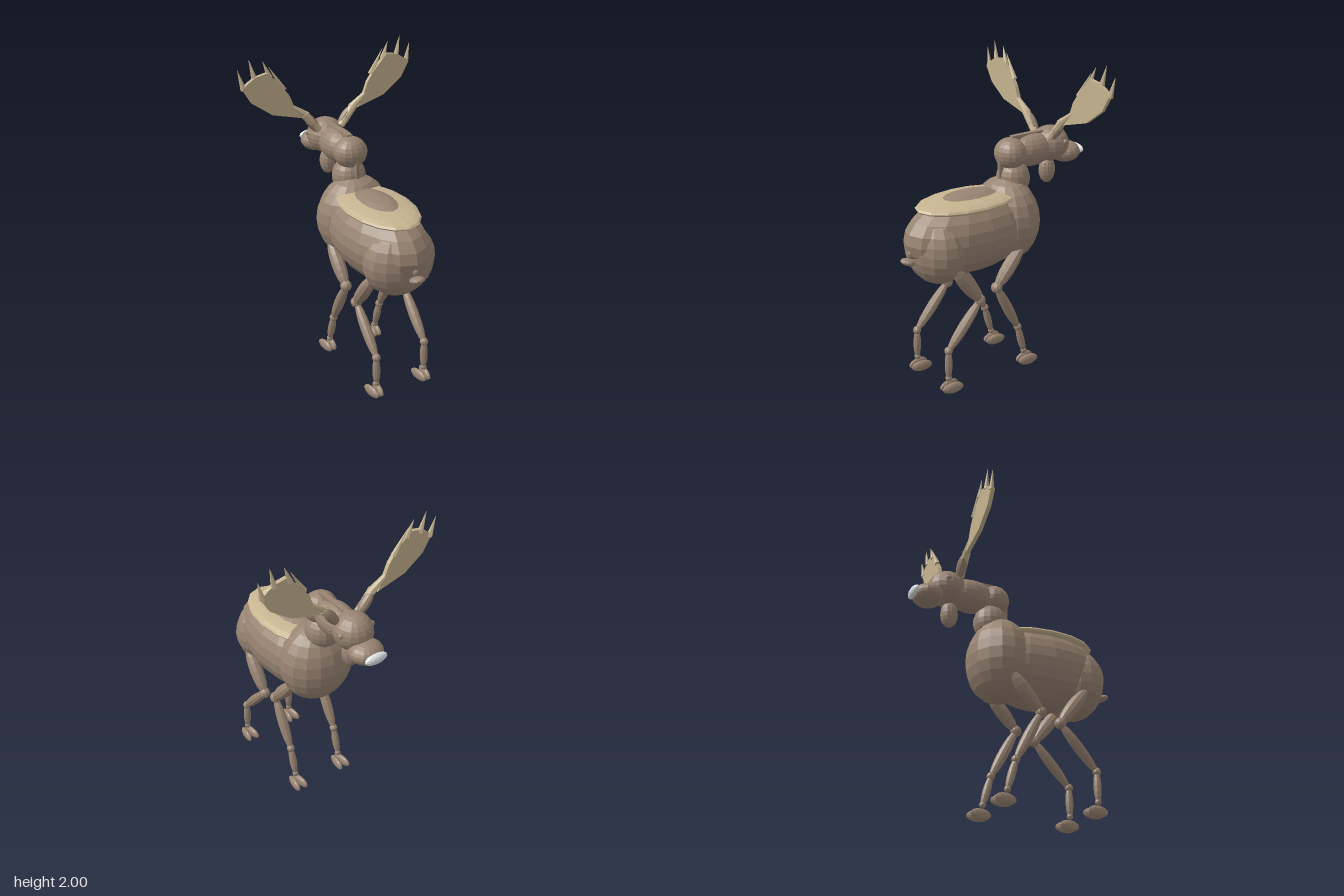
import * as THREE from 'three';

const hide = new THREE.MeshStandardMaterial({ name: 'brownHide', color: 0x998472, flatShading: true });
const tan = new THREE.MeshStandardMaterial({ name: 'tanHorn', color: 0xc6b390, flatShading: true });
const pale = new THREE.MeshStandardMaterial({ name: 'paleNose', color: 0xe2e6ea, flatShading: true });
const UP = new THREE.Vector3(0, 1, 0);

function add(parent, name, geo, mat, pos) {
  const mesh = new THREE.Mesh(geo, mat);
  mesh.name = name;
  mesh.position.set(...pos);
  parent.add(mesh);
  return mesh;
}

// Faceted ellipsoid
function blob(parent, name, pos, radii, mat = hide, seg = 16, rows = 12) {
  const geo = new THREE.SphereGeometry(1, seg, rows).scale(...radii);
  return add(parent, name, geo, mat, pos);
}

// Lay a y-aligned geometry between two points
function span(parent, name, a, b, makeGeo, mat = hide) {
  const p = new THREE.Vector3(...a), q = new THREE.Vector3(...b);
  const dir = q.clone().sub(p);
  const mesh = add(parent, name, makeGeo(dir.length()), mat, p.clone().add(q).multiplyScalar(0.5).toArray());
  mesh.quaternion.setFromUnitVectors(UP, dir.normalize());
  return mesh;
}
const limb = (r) => (len) => new THREE.SphereGeometry(1, 10, 10).scale(r, len / 2 + 0.012, r);
const taper = (r0, r1, n = 8) => (len) => new THREE.CylinderGeometry(r1, r0, len, n);

// Leg: ellipsoid bones joined by ball joints, ending in two toes
function leg(parent, name, x, joints, footZ) {
  const g = new THREE.Group();
  g.name = name;
  const pts = joints.map(([z, y]) => [x, y, z]);
  const boneR = [0.045, 0.034, 0.025], ballR = [0.037, 0.027, 0.021];
  ['upperLeg', 'lowerLeg', 'pastern'].forEach((bone, i) => {
    span(g, bone, pts[i], pts[i + 1], limb(boneR[i]));
    blob(g, bone + 'Joint', pts[i + 1], [ballR[i], ballR[i], ballR[i]], hide, 10, 8);
  });
  for (const s of [-1, 1]) {
    const toe = blob(g, 'toe', [x + s * 0.023, 0.04, footZ], [0.021, 0.036, 0.073], hide, 10, 8);
    toe.rotation.y = -s * 0.12;
  }
  parent.add(g);
}

// Antler: stalk, flat palm and a row of pointed tines
function antler(parent, s) {
  const g = new THREE.Group();
  g.name = s > 0 ? 'leftAntler' : 'rightAntler';
  span(g, 'stalk', [s * 0.08, 1.48, -0.39], [s * 0.18, 1.6, -0.395], taper(0.024, 0.027), tan);
  span(g, 'stalkEnd', [s * 0.16, 1.585, -0.395], [s * 0.3, 1.69, -0.4], taper(0.026, 0.01), tan);
  const outline = [[0.2, 1.58], [0.4, 1.635], [0.53, 1.73], [0.588, 1.83], [0.55, 1.86],
    [0.5, 1.89], [0.42, 1.905], [0.33, 1.81], [0.28, 1.74], [0.245, 1.65]];
  const shape = new THREE.Shape(outline.map(([x, y]) => new THREE.Vector2(s * x, y)));
  const palm = new THREE.ExtrudeGeometry(shape, { depth: 0.026, bevelEnabled: false });
  add(g, 'palm', palm, tan, [0, 0, -0.412]);
  const tines = [[0.575, 1.82, 0.606, 1.945], [0.5, 1.87, 0.53, 2.0], [0.4, 1.87, 0.44, 1.975], [0.31, 1.78, 0.402, 1.935]];
  for (const [x0, y0, x1, y1] of tines) {
    span(g, 'tine', [s * x0, y0, -0.405], [s * x1, y1, -0.412], taper(0.019, 0.001, 6), tan);
  }
  parent.add(g);
}

export function createModel() {
  const model = new THREE.Group();
  model.name = 'moose';

  // Body, with the head end toward -z
  blob(model, 'barrel', [0, 0.967, 0.19], [0.252, 0.258, 0.46]);
  blob(model, 'chest', [0, 0.985, -0.09], [0.247, 0.275, 0.2]);
  blob(model, 'rump', [0, 0.917, 0.445], [0.235, 0.232, 0.177]);
  blob(model, 'saddle', [0, 1.162, 0.2], [0.212, 0.044, 0.365], tan);

  // Tail
  blob(model, 'tailRoot', [0, 0.963, 0.617], [0.022, 0.026, 0.022], hide, 10, 8);
  blob(model, 'tailMiddle', [0, 0.912, 0.628], [0.021, 0.028, 0.021], hide, 10, 8);
  blob(model, 'tailTip', [0, 0.866, 0.648], [0.048, 0.022, 0.046], hide, 12, 8).rotation.x = -0.3;

  // Neck and head
  blob(model, 'lowerNeck', [0, 1.24, -0.15], [0.108, 0.12, 0.108]);
  blob(model, 'neckBend', [0, 1.402, -0.128], [0.11, 0.1, 0.1]);
  blob(model, 'upperNeck', [0, 1.4, -0.29], [0.107, 0.107, 0.17]);
  blob(model, 'head', [0, 1.415, -0.45], [0.122, 0.115, 0.125]);
  blob(model, 'muzzle', [0, 1.34, -0.575], [0.108, 0.07, 0.1]);
  blob(model, 'nose', [0, 1.345, -0.668], [0.079, 0.034, 0.026], pale);
  blob(model, 'dewlap', [0, 1.24, -0.43], [0.05, 0.088, 0.057], hide, 12, 10);

  // Thin mane along the neck and behind it
  add(model, 'maneTop', new THREE.BoxGeometry(0.035, 0.12, 0.295), hide, [0, 1.452, -0.283]);
  add(model, 'maneBack', new THREE.BoxGeometry(0.02, 0.125, 0.1), hide, [0, 1.317, -0.083]);

  for (const s of [-1, 1]) {
    const side = s > 0 ? 'left' : 'right';
    blob(model, side + 'Eye', [s * 0.11, 1.437, -0.482], [0.018, 0.018, 0.018], hide, 10, 8);
    span(model, side + 'Ear', [s * 0.075, 1.47, -0.4], [s * 0.165, 1.585, -0.402], limb(0.033));
    antler(model, s);
    leg(model, side + 'FrontLeg', s * 0.176, [[-0.085, 0.85], [0.115, 0.615], [-0.055, 0.292], [-0.108, 0.105]], -0.13);
    leg(model, side + 'HindLeg', s * 0.176, [[0.435, 0.82], [0.245, 0.565], [0.487, 0.292], [0.49, 0.105]], 0.472);
  }
  return model;
}
